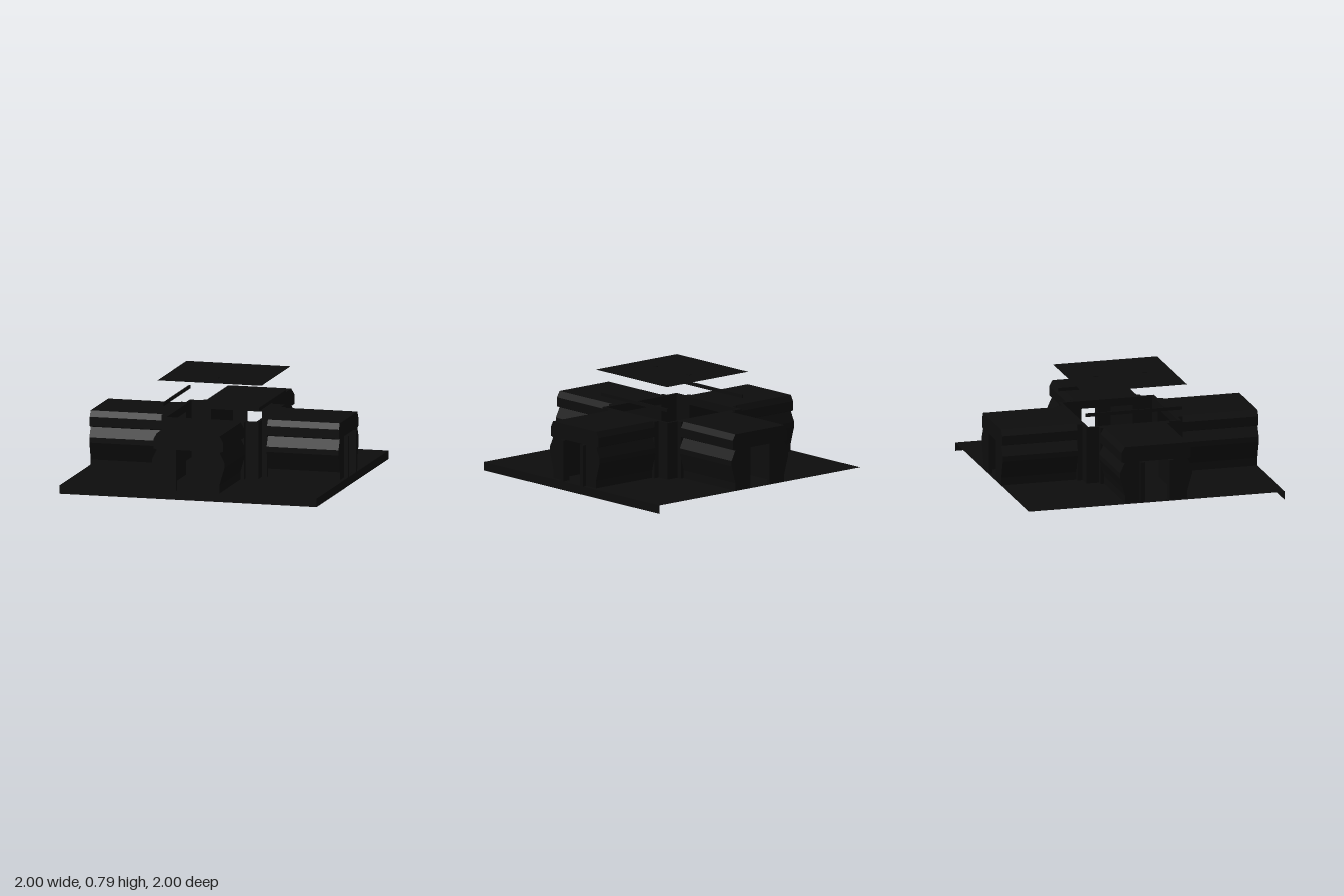
import * as THREE from 'three';

export function createModel() {
  const model = new THREE.Group();
  const dark = new THREE.MeshStandardMaterial({ color: 0x0d0d0d, side: THREE.DoubleSide });
  dark.name = 'nearBlack';

  const FLOOR = 0.065, TOP = 0.5;

  function add(parent, name, geometry, x = 0, y = 0, z = 0) {
    const mesh = new THREE.Mesh(geometry, dark);
    mesh.name = name;
    mesh.position.set(x, y, z);
    parent.add(mesh);
    return mesh;
  }
  const box = (w, h, d) => new THREE.BoxGeometry(w, h, d);

  // Mirrors a half profile, given from top to bottom, and cuts an opening in it
  function section(half, openHalf, openTop) {
    const mirrored = half.map(([x, y]) => [-x, y]).reverse();
    const shape = new THREE.Shape([...half, ...mirrored].map(([x, y]) => new THREE.Vector2(x, y)));
    shape.holes.push(new THREE.Path([
      [-openHalf, FLOOR + 0.001], [openHalf, FLOOR + 0.001], [openHalf, openTop], [-openHalf, openTop],
    ].map(([x, y]) => new THREE.Vector2(x, y))));
    return shape;
  }
  const extrude = (shape, depth) => new THREE.ExtrudeGeometry(shape, { depth, bevelEnabled: false });

  // Floor sheet with skirts along the front and one side
  const floor = add(model, 'floor', new THREE.PlaneGeometry(2, 2), 0, FLOOR, 0);
  floor.rotation.x = -Math.PI / 2;
  add(model, 'frontSkirt', new THREE.PlaneGeometry(2, FLOOR), 0, FLOOR / 2, 1);
  add(model, 'sideSkirt', new THREE.PlaneGeometry(2, FLOOR), 1, FLOOR / 2, 0).rotation.y = Math.PI / 2;

  // Corridor profile: bevelled roof, fascia, overhang and bulging wall
  const wall = [
    [0.245, TOP], [0.27, 0.455], [0.27, 0.385], [0.245, 0.375],
    [0.282, 0.3], [0.282, 0.26], [0.258, 0.18], [0.243, 0.125], [0.243, FLOOR],
  ];
  const collar = [[0.27, TOP], [0.27, FLOOR]];

  // Four corridors around the central room
  for (let i = 0; i < 4; i++) {
    const corridor = new THREE.Group();
    corridor.name = 'corridor' + (i + 1);
    corridor.rotation.y = i * Math.PI / 2;
    model.add(corridor);

    const end = i % 2 ? 0.97 : 1;
    add(corridor, 'roomCollar', extrude(section(collar, 0.2, 0.44), 0.06), 0, 0, 0.35);
    add(corridor, 'corridorShell', extrude(section(wall, 0.2, 0.44), end - 0.44), 0, 0, 0.41);
    add(corridor, 'endWall', extrude(section(wall, 0.095, 0.38), 0.03), 0, 0, end - 0.03);
    if (i % 2) {
      for (const s of [-1, 1]) {
        add(corridor, 'doorJamb', box(0.035, 0.38 - FLOOR, 0.03), s * 0.1125, (0.38 + FLOOR) / 2, 0.985);
      }
    }

    // Walls that close the room corner beside each corridor
    for (const s of [-1, 1]) {
      add(corridor, 'cornerWall', box(0.11, TOP - FLOOR, 0.02), s * 0.315, (TOP + FLOOR) / 2, 0.36);
    }
  }

  // Raised roof sheet with ceiling lights and side light bars
  const roof = add(model, 'raisedRoof', new THREE.PlaneGeometry(0.81, 0.81), 0, 0.787, 0);
  roof.rotation.x = -Math.PI / 2;
  for (const s of [-1, 1]) {
    add(model, 'ceilingLight', box(0.024, 0.008, 0.038), 0, 0.787, s * 0.19);
    add(model, 'lightBar', box(0.01, 0.026, 0.75), s * 0.372, 0.598, 0);
  }
  return model;
}
